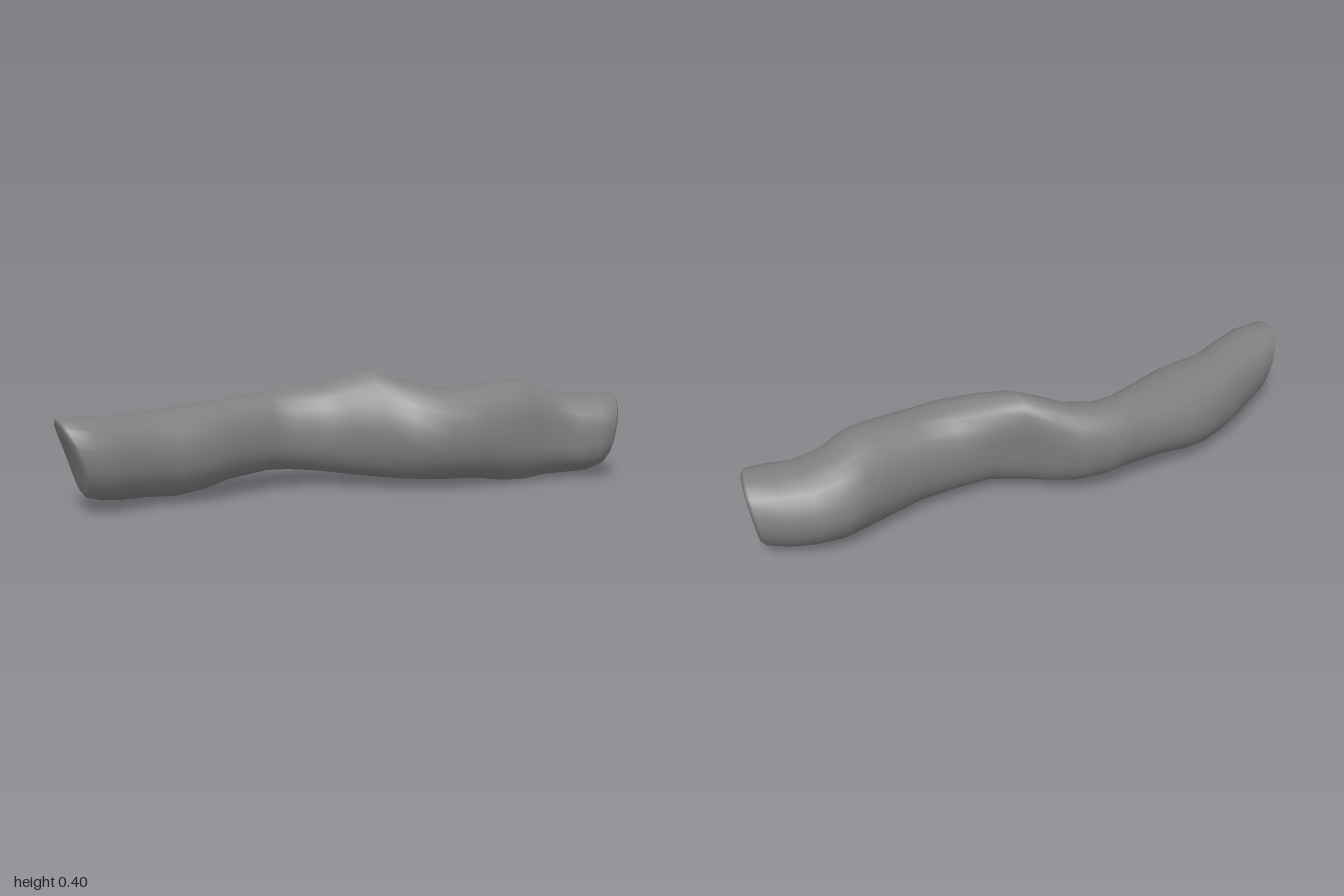
import * as THREE from 'three';

// Cross-sections along the log: x, bottom, top, back z, front z, z shift of the top, z shift of the bottom
const SECTIONS = [
  [-0.95, 0.045, 0.3, -0.042, 0.17, 0, 0],
  [-0.89, 0.036, 0.297, -0.066, 0.182, 0, 0],
  [-0.80, 0.026, 0.293, -0.10, 0.152, 0, 0],
  [-0.70, 0.02, 0.293, -0.15, 0.113, 0, 0],
  [-0.60, 0.013, 0.298, -0.185, 0.104, 0, 0],
  [-0.50, 0.026, 0.303, -0.216, 0.086, 0, 0.01],
  [-0.40, 0.048, 0.31, -0.222, 0.04, 0, 0.015],
  [-0.25, 0.061, 0.322, -0.23, -0.018, -0.005, 0.015],
  [-0.17, 0.058, 0.33, -0.236, -0.021, -0.01, 0.015],
  [-0.07, 0.05, 0.342, -0.208, 0.012, -0.01, 0.01],
  [0.00, 0.043, 0.368, -0.16, 0.062, -0.025, 0.005],
  [0.09, 0.036, 0.398, -0.09, 0.135, -0.06, 0],
  [0.17, 0.031, 0.367, -0.047, 0.203, -0.045, 0],
  [0.28, 0.025, 0.337, -0.031, 0.231, 0, 0],
  [0.42, 0.021, 0.338, -0.03, 0.23, 0, 0],
  [0.55, 0.002, 0.35, -0.055, 0.21, 0.01, 0.015],
  [0.63, 0, 0.348, -0.08, 0.193, 0.02, 0.025],
  [0.72, 0.008, 0.318, -0.105, 0.174, 0.02, 0.03],
  [0.81, 0.012, 0.291, -0.085, 0.195, 0.015, 0.02],
  [0.89, 0.018, 0.29, -0.053, 0.222, 0.01, 0.01],
  [0.957, 0.036, 0.291, -0.016, 0.215, 0.01, 0],
];
const SIDES = 24;

const ramp = (x, from, to) => THREE.MathUtils.clamp((x - from) / (to - from), 0, 1);
// Slightly squared oval
const soft = (v) => Math.sign(v) * Math.pow(Math.abs(v), 0.93);

function createLogGeometry() {
  const positions = [];
  const index = [];

  // One ring; the slanted end cuts fade out away from the tips
  const addRing = ([x, y0, y1, z0, z1, top, bottom], scale) => {
    const left = ramp(x, -0.8, -0.95);
    const right = ramp(x, 0.81, 0.957);
    for (let j = 0; j < SIDES; j++) {
      const a = (j / SIDES) * Math.PI * 2;
      const u = soft(Math.cos(a)) * scale;
      const v = soft(Math.sin(a)) * scale;
      const slant = (0.015 * u * u - 0.045 * v) * left + (0.022 * v - 0.028 * u) * right;
      positions.push(
        x + slant,
        (y0 + y1) / 2 + v * (y1 - y0) / 2,
        (z0 + z1) / 2 + u * (z1 - z0) / 2 + Math.abs(v) * (v > 0 ? top : bottom),
      );
    }
  };

  const first = SECTIONS[0];
  const last = SECTIONS[SECTIONS.length - 1];
  const shifted = (s, dx) => [s[0] + dx, ...s.slice(1)];
  // Rounded rims lead into the cut ends
  const rings = [
    [shifted(first, -0.004), 0.5],
    [shifted(first, -0.008), 0.87],
    ...SECTIONS.map((s) => [s, 1]),
    [shifted(last, 0.014), 0.87],
    [shifted(last, 0.01), 0.5],
  ];
  rings.forEach(([s, scale]) => addRing(s, scale));

  // Bark and rims
  for (let i = 0; i < rings.length - 1; i++) {
    for (let j = 0; j < SIDES; j++) {
      const k = (j + 1) % SIDES;
      const a = i * SIDES + j, b = a + SIDES;
      const c = i * SIDES + k, d = c + SIDES;
      index.push(a, b, c, b, d, c);
    }
  }

  // Cut ends
  const addCap = (section, dx, start, flip) => {
    const centre = positions.length / 3;
    positions.push(section[0] + dx, (section[1] + section[2]) / 2, (section[3] + section[4]) / 2);
    for (let j = 0; j < SIDES; j++) {
      const a = start + j, b = start + (j + 1) % SIDES;
      index.push(centre, flip ? b : a, flip ? a : b);
    }
  };
  addCap(first, -0.002, 0, false);
  addCap(last, 0.008, (rings.length - 1) * SIDES, true);

  const geometry = new THREE.BufferGeometry();
  geometry.setAttribute('position', new THREE.Float32BufferAttribute(positions, 3));
  geometry.setIndex(index);
  geometry.computeVertexNormals();
  return geometry;
}

export function createModel() {
  const group = new THREE.Group();
  group.name = 'crookedLog';
  const log = new THREE.Mesh(
    createLogGeometry(),
    new THREE.MeshStandardMaterial({ color: 0x808080 }),
  );
  log.name = 'log';
  group.add(log);
  return group;
}
